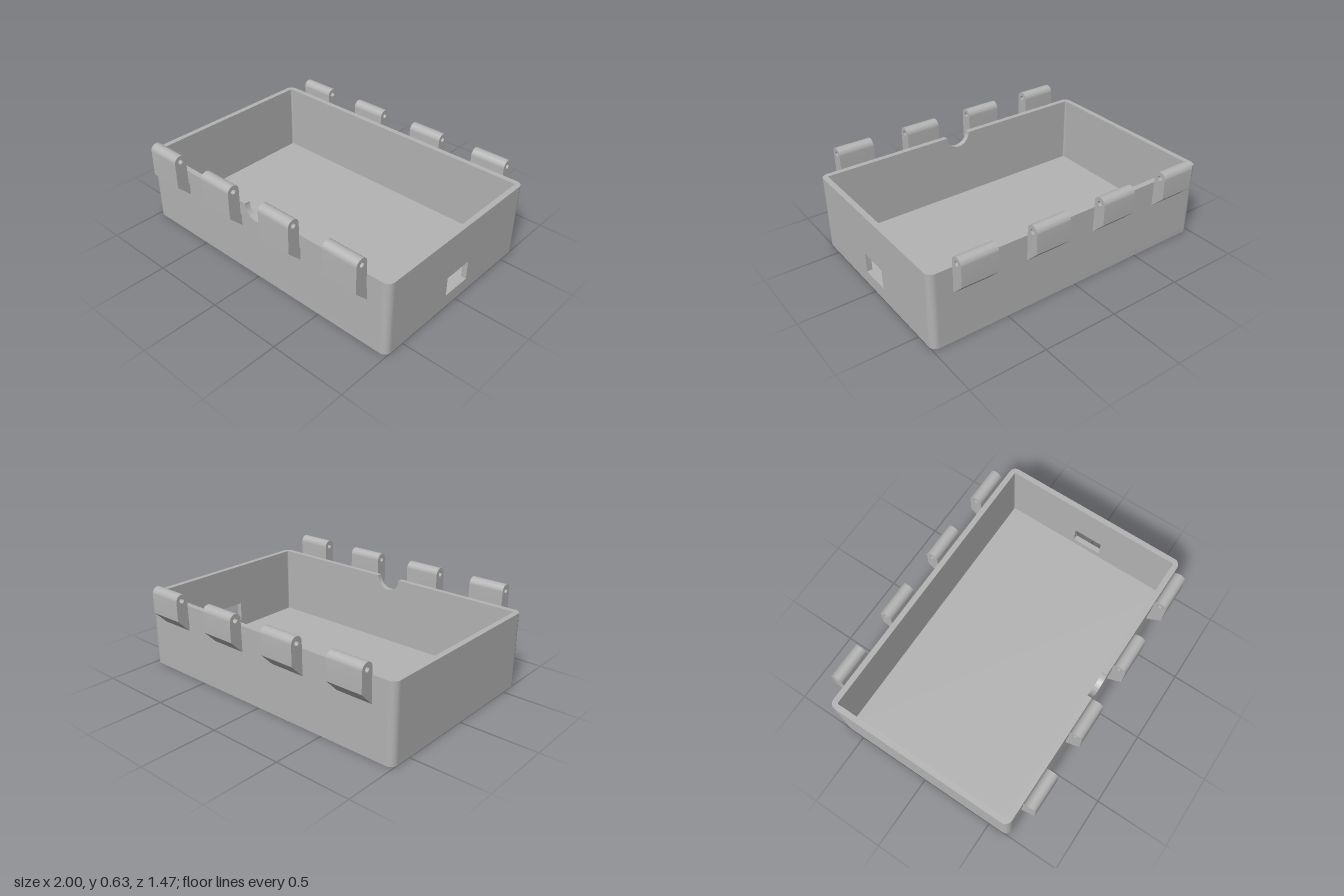
import * as THREE from 'three';
import { toCreasedNormals } from 'three/addons/utils/BufferGeometryUtils.js';

const W = 1, D = 0.6455;       // half width and half depth of the box
const H = 0.5, T = 0.036;      // height, wall and floor thickness
const R = 0.045;               // outer corner radius
const Z0 = -0.0025;            // the box sits slightly behind centre

const grey = new THREE.MeshStandardMaterial({ color: 0xb3b3b3 });
grey.name = 'grey plastic';

function extrude(shape, depth) {
  return new THREE.ExtrudeGeometry(shape, { depth, bevelEnabled: false, curveSegments: 20 });
}

function addPart(parent, name, geometry) {
  const mesh = new THREE.Mesh(toCreasedNormals(geometry, 0.6), grey);
  mesh.name = name;
  parent.add(mesh);
  return mesh;
}

function roundedRect(w, d, r) {
  const s = new THREE.Shape();
  s.absarc(w - r, d - r, r, 0, Math.PI / 2);
  s.absarc(-w + r, d - r, r, Math.PI / 2, Math.PI);
  s.absarc(-w + r, -d + r, r, Math.PI, Math.PI * 1.5);
  s.absarc(w - r, -d + r, r, Math.PI * 1.5, Math.PI * 2);
  s.closePath();
  return s;
}

// Upright wall outline above the floor, with an optional half-round notch in the rim
function wallShape(half, notch = 0) {
  const s = new THREE.Shape();
  s.moveTo(-half, T);
  s.lineTo(half, T);
  s.lineTo(half, H);
  if (notch) {
    s.lineTo(notch, H);
    s.absarc(0, H, notch, 0, -Math.PI, true);
  }
  s.lineTo(-half, H);
  s.closePath();
  return s;
}

// Quarter-round corner post with a small inner fillet
function cornerGeometry() {
  const i = R - T;
  const s = new THREE.Shape();
  s.moveTo(i, 0);
  s.lineTo(R, 0);
  s.absarc(0, 0, R, 0, Math.PI / 2);
  s.lineTo(0, i);
  s.quadraticCurveTo(i, i, i, 0);
  return extrude(s, H - T).rotateX(-Math.PI / 2);
}

// Hinge lug: rounded eye on top, sloped support below, pin hole through it
function hingeGeometry(wall, eyeY, footY) {
  const inner = 0.65, outer = 0.733, shoulder = 0.416, width = 0.239;
  const cx = (inner + outer) / 2, r = (outer - inner) / 2;
  const s = new THREE.Shape();
  s.moveTo(wall, footY);
  s.lineTo(outer, shoulder);
  s.lineTo(outer, eyeY);
  s.absarc(cx, eyeY, r, 0, Math.PI);
  s.lineTo(inner, shoulder);
  s.lineTo(wall, shoulder - 0.01);
  s.closePath();
  s.holes.push(new THREE.Path().absarc(cx, eyeY, 0.0165, 0, Math.PI * 2, true));
  return extrude(s, width).translate(0, 0, -width / 2).rotateY(-Math.PI / 2);
}

export function createModel() {
  const model = new THREE.Group();
  model.name = 'hingedBox';

  const box = new THREE.Group();
  box.name = 'box';
  box.position.z = Z0;
  model.add(box);

  // Floor
  addPart(box, 'floor', extrude(roundedRect(W, D, R), T).rotateX(-Math.PI / 2));

  // Long walls, the front one notched
  addPart(box, 'frontWall', extrude(wallShape(W - R, 0.087), T)).position.z = D - T;
  addPart(box, 'backWall', extrude(wallShape(W - R), T)).position.z = -D;

  // Short walls, one with a rectangular port
  const portWall = wallShape(D - R);
  const port = new THREE.Path();
  port.moveTo(-0.1025, 0.087);
  port.lineTo(-0.1025, 0.217);
  port.lineTo(0.1025, 0.217);
  port.lineTo(0.1025, 0.087);
  port.closePath();
  portWall.holes.push(port);
  addPart(box, 'leftWallWithPort', extrude(portWall, T).rotateY(Math.PI / 2)).position.x = W - T;
  addPart(box, 'rightWall', extrude(wallShape(D - R), T).rotateY(Math.PI / 2)).position.x = -W;

  // Rounded corners
  [[1, -1], [-1, -1], [-1, 1], [1, 1]].forEach(([sx, sz], k) => {
    const corner = addPart(box, 'corner', cornerGeometry());
    corner.rotation.y = k * Math.PI / 2;
    corner.position.set(sx * (W - R), T, sz * (D - R));
  });

  // Hinge lugs, the front row taller than the back row
  for (const x of [-0.735, -0.245, 0.245, 0.735]) {
    addPart(model, 'frontHinge', hingeGeometry(D + Z0, 0.588, 0.327)).position.x = x;
    const back = addPart(model, 'backHinge', hingeGeometry(D - Z0, 0.545, 0.331));
    back.position.x = x;
    back.rotation.y = Math.PI;
  }

  return model;
}
